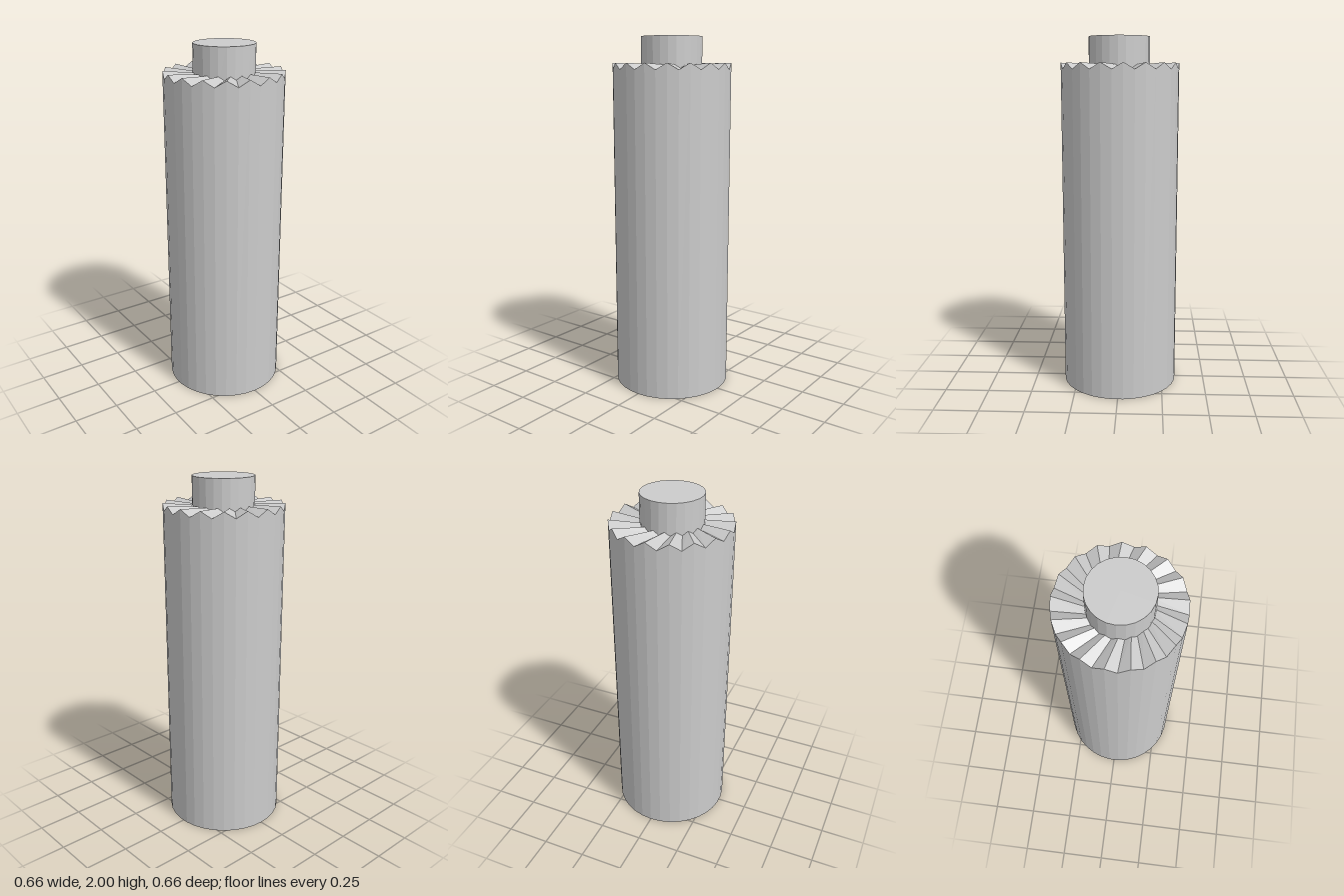
import * as THREE from 'three';

const TEETH = 17;
const SIDES = TEETH * 2;
const RADIUS = 0.33;
const PEAK = 1.857;
const VALLEY = 1.822;

const material = () => new THREE.MeshStandardMaterial({
  color: 0xcccccc, flatShading: true, side: THREE.DoubleSide,
});

// One ring of points; a valley faces the front and a peak faces the back
function ring(radius, peak, valley, twist = 0) {
  return Array.from({ length: SIDES }, (_, i) => {
    const a = ((i + twist) / SIDES) * Math.PI * 2;
    return [radius * Math.sin(a), i % 2 ? peak : valley, radius * Math.cos(a)];
  });
}

// Joins consecutive rings with quads
function loft(rings) {
  const index = [];
  for (let r = 0; r < rings.length - 1; r++) {
    for (let i = 0; i < SIDES; i++) {
      const j = (i + 1) % SIDES;
      const a = r * SIDES + i, b = r * SIDES + j;
      const c = a + SIDES, d = b + SIDES;
      index.push(a, b, d, a, d, c);
    }
  }
  const geometry = new THREE.BufferGeometry();
  geometry.setAttribute('position', new THREE.Float32BufferAttribute(rings.flat(2), 3));
  geometry.setIndex(index);
  geometry.computeVertexNormals();
  return geometry;
}

export function createModel() {
  const group = new THREE.Group();
  const add = (name, geometry) => {
    const mesh = new THREE.Mesh(geometry, material());
    mesh.name = name;
    group.add(mesh);
    return mesh;
  };

  // Tall faceted wall with a zigzag upper rim
  add('body', loft([ring(RADIUS, 0, 0), ring(RADIUS, PEAK, VALLEY)]));

  // Pleated ring running from the teeth to the knob, slightly swirled
  add('pleatedTop', loft([
    ring(RADIUS, PEAK, VALLEY),
    ring(0.16, 1.848, 1.83, 1),
  ]));

  // Flat underside
  const base = add('base', new THREE.CircleGeometry(RADIUS, SIDES));
  base.rotation.set(Math.PI / 2, 0, Math.PI / 2);

  // Round knob on top
  const knob = add('knob', new THREE.CylinderGeometry(0.17, 0.17, 0.2, 24));
  knob.position.set(0, 1.9, 0.004);

  return group;
}
